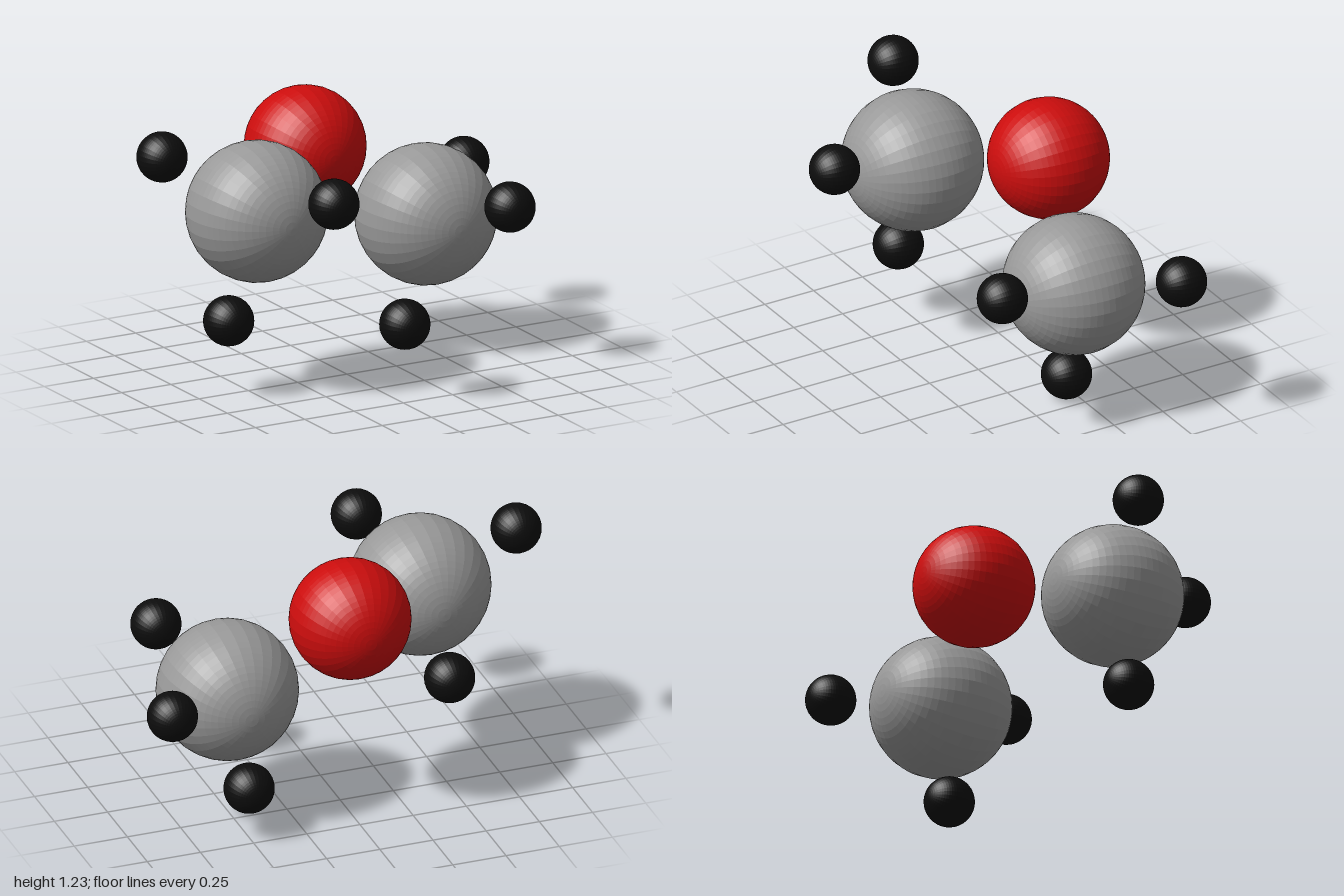
import * as THREE from 'three';

// Ball kinds: radius and colour
const KINDS = {
  carbon: { radius: 0.316, color: 0x999999 },
  oxygen: { radius: 0.271, color: 0xcc0d0d },
  hydrogen: { radius: 0.113, color: 0x0d0d0d },
};

// Ball centres, grouped by kind
const ATOMS = {
  oxygen: { oxygenAtom: [-0.005, 0.959, -0.362] },
  carbon: {
    rightCarbon: [-0.486, 0.839, 0.049],
    leftCarbon: [0.507, 0.614, -0.187],
  },
  hydrogen: {
    rightOuterHydrogen: [-0.887, 1.113, -0.09],
    rightFrontHydrogen: [-0.364, 0.978, 0.521],
    rightLowerHydrogen: [-0.623, 0.353, 0.04],
    leftFrontHydrogen: [0.67, 0.743, 0.275],
    leftOuterHydrogen: [0.887, 0.711, -0.514],
    leftLowerHydrogen: [0.412, 0.115, -0.207],
  },
};

export function createModel() {
  const model = new THREE.Group();
  model.name = 'molecule';

  for (const [kind, atoms] of Object.entries(ATOMS)) {
    const { radius, color } = KINDS[kind];
    // Faceted sphere with its poles along z
    const geometry = new THREE.SphereGeometry(radius, 32, 32).rotateX(Math.PI / 2);
    const material = new THREE.MeshStandardMaterial({ color, flatShading: true });
    for (const [name, centre] of Object.entries(atoms)) {
      const ball = new THREE.Mesh(geometry, material);
      ball.name = name;
      ball.position.set(...centre);
      model.add(ball);
    }
  }
  return model;
}
